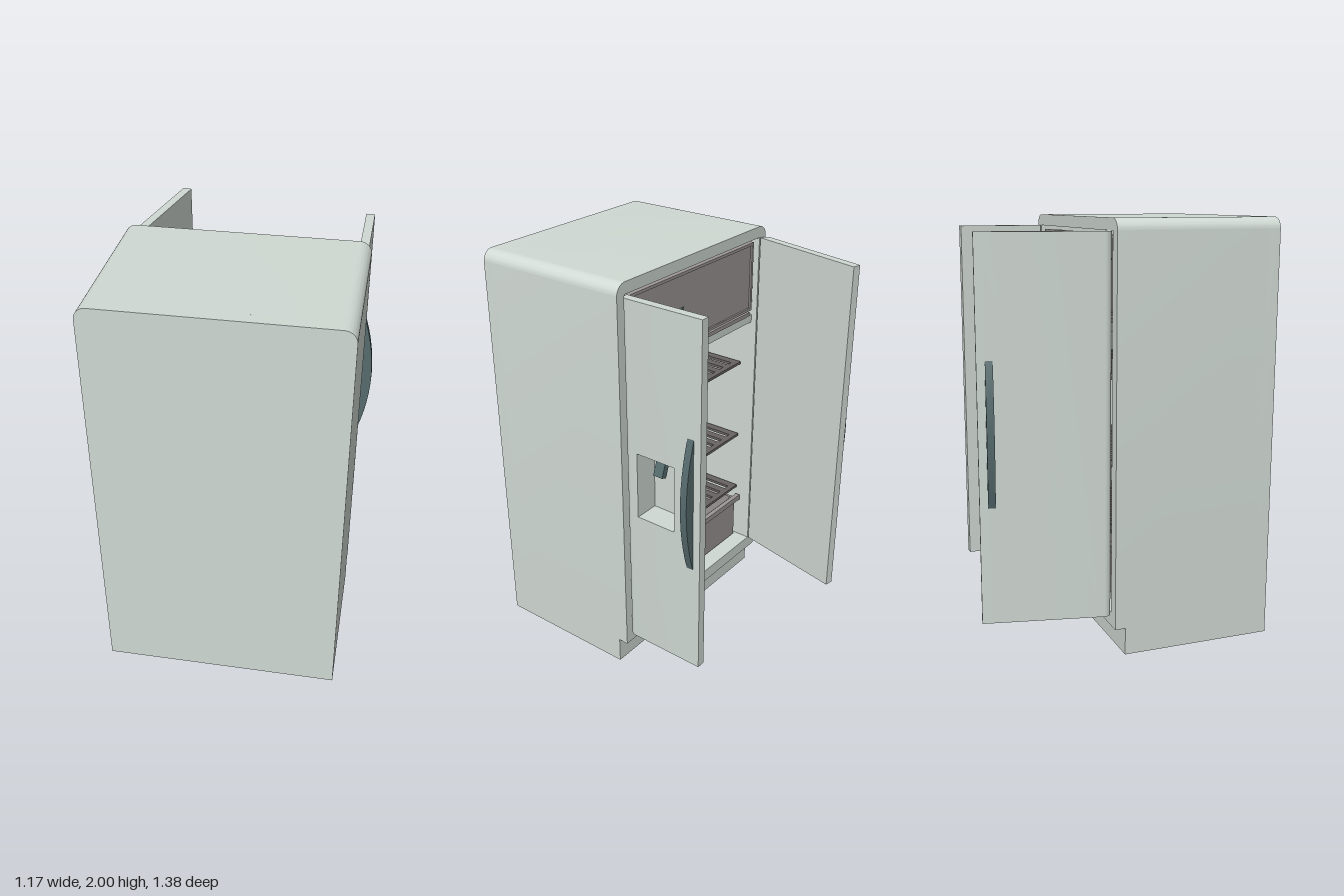
import * as THREE from 'three';
import { mergeGeometries, toCreasedNormals } from 'three/addons/utils/BufferGeometryUtils.js';

const paint = (color) => new THREE.MeshStandardMaterial({ color });
const shell = paint(0xd0d9d3), teal = paint(0x566b6e), grey = paint(0x9c9696), rack = paint(0x696363);

const CX = -0.02, HALF = 0.51;              // cavity centre and half width
const FLOOR = 0.195, CEIL = 1.945, BACK = 0.63; // cavity limits

function add(parent, name, geometry, material) {
  const mesh = new THREE.Mesh(geometry, material);
  mesh.name = name;
  parent.add(mesh);
  return mesh;
}

// Box given by its limits on each axis
function block(x0, x1, y0, y1, z0, z1) {
  return new THREE.BoxGeometry(x1 - x0, y1 - y0, z1 - z0)
    .translate((x0 + x1) / 2, (y0 + y1) / 2, (z0 + z1) / 2);
}

function extrude(shape, depth) {
  const g = new THREE.ExtrudeGeometry(shape, { depth, bevelEnabled: false, curveSegments: 12 });
  return toCreasedNormals(g, 0.6);
}

// Cabinet outline with rounded top corners
function cabinetShape() {
  const x0 = -0.585, x1 = 0.545, r = 0.055;
  const s = new THREE.Shape();
  s.moveTo(x0, 0.13).lineTo(x1, 0.13).lineTo(x1, 2 - r);
  s.absarc(x1 - r, 2 - r, r, 0, Math.PI / 2);
  s.absarc(x0 + r, 2 - r, r, Math.PI / 2, Math.PI);
  s.closePath();
  return s;
}

// Bow handle: chord along x, bulging to +y, thickness along z
function bow(length, bulge, thick) {
  const s = new THREE.Shape();
  s.moveTo(-length / 2, 0).lineTo(length / 2, 0);
  s.quadraticCurveTo(0, bulge * 2, -length / 2, 0);
  return extrude(s, thick).translate(0, 0, -thick / 2);
}

// Upright slab of door from u0 to u1 along -z; the hinge end is rounded on the outside
function doorSlab(side, u0, u1, y0, y1) {
  const t = 0.042, r = 0.038;
  const s = new THREE.Shape();
  s.moveTo(0, u0);
  if (u0 === 0) {
    s.lineTo(side * (t - r), 0);
    s.quadraticCurveTo(side * t, 0, side * t, r);
  } else s.lineTo(side * t, u0);
  s.lineTo(side * t, u1).lineTo(0, u1).closePath();
  return extrude(s, y1 - y0).rotateX(-Math.PI / 2).translate(0, y0, 0);
}

function addHandle(door, side, u) {
  const g = bow(0.66, 0.051, 0.034).rotateZ(-side * Math.PI / 2).translate(side * 0.042, 1.07, -u);
  add(door, 'doorHandle', g, teal);
}

// Hollow open-topped tray made of five walls
function tray(x0, x1, y0, y1, z0, z1, t) {
  return mergeGeometries([
    block(x0, x1, y0, y0 + t, z0, z1),
    block(x0, x1, y0 + t, y1, z0, z0 + t),
    block(x0, x1, y0 + t, y1, z1 - t, z1),
    block(x0, x0 + t, y0 + t, y1, z0 + t, z1 - t),
    block(x1 - t, x1, y0 + t, y1, z0 + t, z1 - t),
  ]);
}

function buildCabinet(group) {
  const ring = cabinetShape();
  const hole = new THREE.Path();
  hole.moveTo(CX - HALF, FLOOR).lineTo(CX - HALF, CEIL).lineTo(CX + HALF, CEIL)
    .lineTo(CX + HALF, FLOOR).closePath();
  ring.holes.push(hole);
  add(group, 'cabinetWalls', extrude(ring, BACK + 0.1).translate(0, 0, -0.1), shell);
  add(group, 'cabinetBack', extrude(cabinetShape(), 0.69 - BACK).translate(0, 0, BACK), shell);
  add(group, 'base', block(-0.585, 0.545, 0, 0.13, -0.05, 0.69), shell);
}

function buildFreezer(group) {
  const x0 = CX - 0.485, x1 = CX + 0.485, y0 = 1.575, y1 = 1.925, b = 0.014;
  add(group, 'freezerFloor', block(CX - HALF, CX + HALF, 1.5, 1.54, -0.07, BACK), shell);
  add(group, 'freezerLip', block(x0, x1, 1.54, 1.56, -0.075, -0.04), grey);
  add(group, 'freezerDoor', block(x0, x1, y0, y1, -0.076, -0.045), grey);
  // Raised border
  add(group, 'freezerDoorBorder', mergeGeometries([
    block(x0, x1, y0, y0 + b, -0.085, -0.076),
    block(x0, x1, y1 - b, y1, -0.085, -0.076),
    block(x0, x0 + b, y0 + b, y1 - b, -0.085, -0.076),
    block(x1 - b, x1, y0 + b, y1 - b, -0.085, -0.076),
  ]), grey);
  const handle = add(group, 'freezerHandle', bow(0.35, 0.036, 0.035).rotateX(-Math.PI / 2), teal);
  handle.position.set(0.225, 1.738, -0.076);
}

function buildShelves(group) {
  const x0 = CX - 0.5, x1 = CX + 0.5, z0 = -0.02, z1 = 0.61, count = 14, w = 0.042;
  for (const y of [0.52, 0.845, 1.27]) {
    const parts = [
      block(x0, x1, y - 0.014, y, z0, z0 + 0.03),
      block(x0, x1, y - 0.014, y, z1 - 0.03, z1),
    ];
    for (let i = 0; i < count; i++) {
      const x = x0 + (x1 - x0 - w) * i / (count - 1);
      parts.push(block(x, x + w, y - 0.014, y, z0 + 0.03, z1 - 0.03));
    }
    add(group, 'shelf', mergeGeometries(parts), rack);
  }
}

function buildDrawer(group) {
  const x0 = CX - 0.48, x1 = CX + 0.48;
  add(group, 'drawer', tray(x0, x1, 0.205, 0.45, -0.02, 0.6, 0.015), grey);
  add(group, 'drawerLip', block(x0 - 0.015, x1 + 0.015, 0.435, 0.465, -0.045, -0.02), grey);
}

// Narrow door with the dispenser recess
function buildDispenserDoor(group) {
  const door = new THREE.Group();
  door.name = 'dispenserDoor';
  const u0 = 0.071, u1 = 0.28, y0 = 0.9, y1 = 1.23, len = 0.422;
  add(door, 'doorPanel', mergeGeometries([
    doorSlab(1, 0, len, FLOOR, y0),
    doorSlab(1, 0, len, y1, CEIL),
    doorSlab(1, 0, u0, y0, y1),
    doorSlab(1, u1, len, y0, y1),
  ]), shell);
  // Recess housing on the inner side, open outward
  const housing = tray(y0 - 0.006, y1 + 0.006, -0.087, 0, -u1 - 0.006, -u0 + 0.006, 0.006);
  housing.rotateZ(-Math.PI / 2).translate(0, 0, 0);
  housing.scale(1, -1, 1);
  // Mirroring turned the faces inside out, so swap two corners of each
  const ix = housing.index.array;
  for (let i = 0; i < ix.length; i += 3) [ix[i], ix[i + 1]] = [ix[i + 1], ix[i]];
  add(door, 'dispenserHousing', housing, shell);
  const spout = add(door, 'dispenserSpout', new THREE.BoxGeometry(0.03, 0.1, 0.05), teal);
  spout.position.set(-0.005, 1.183, -0.175);
  spout.rotation.z = 0.35;
  addHandle(door, 1, 0.368);
  door.position.set(0.487, 0, -0.106);
  door.rotation.y = -0.007;
  group.add(door);
}

// Wide plain door
function buildWideDoor(group) {
  const door = new THREE.Group();
  door.name = 'wideDoor';
  add(door, 'doorPanel', doorSlab(-1, 0, 0.592, FLOOR, CEIL), shell);
  addHandle(door, -1, 0.537);
  door.position.set(-0.53, 0, -0.106);
  door.rotation.y = -0.213;
  group.add(door);
}

export function createModel() {
  const group = new THREE.Group();
  group.name = 'refrigerator';
  buildCabinet(group);
  buildFreezer(group);
  buildShelves(group);
  buildDrawer(group);
  buildDispenserDoor(group);
  buildWideDoor(group);
  return group;
}
